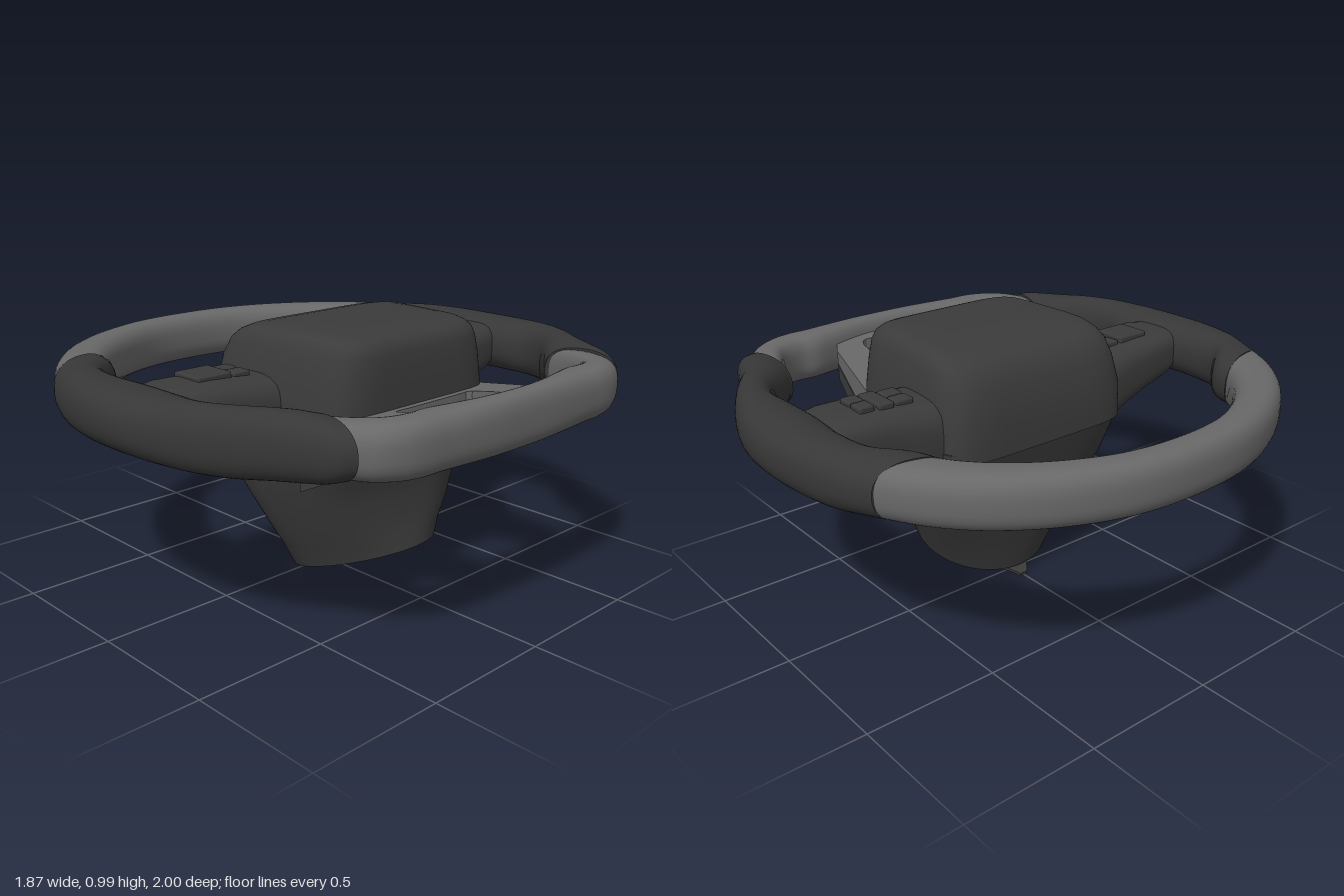
import * as THREE from 'three';
import { RoundedBoxGeometry } from 'three/addons/geometries/RoundedBoxGeometry.js';

const mat = (name, color) => {
  const m = new THREE.MeshStandardMaterial({ color });
  m.name = name;
  return m;
};

// Unit superellipse: n = 2 is round, larger n is boxier
const superellipse = (n, count = 48) => Array.from({ length: count }, (_, i) => {
  const a = (i / count) * Math.PI * 2, c = Math.cos(a), s = Math.sin(a);
  return [Math.sign(c) * Math.abs(c) ** (2 / n), Math.sign(s) * Math.abs(s) ** (2 / n)];
});

// Skin over a row of closed rings, with flat caps at both ends
function loft(rings) {
  const n = rings[0].length, pos = [], idx = [];
  rings.forEach(r => r.forEach(p => pos.push(...p)));
  for (let i = 0; i < rings.length - 1; i++) for (let j = 0; j < n; j++) {
    const a = i * n + j, b = i * n + (j + 1) % n;
    idx.push(a, b, b + n, a, b + n, a + n);
  }
  [[rings[0], true], [rings[rings.length - 1], false]].forEach(([r, flip]) => {
    const base = pos.length / 3;
    r.forEach(p => pos.push(...p));
    pos.push(...[0, 1, 2].map(k => r.reduce((s, p) => s + p[k], 0) / n));
    for (let j = 0; j < n; j++) {
      const a = base + j, b = base + (j + 1) % n;
      idx.push(...(flip ? [b, a, base + n] : [a, b, base + n]));
    }
  });
  // Turn the faces outward if the enclosed volume is negative
  const v = i => new THREE.Vector3(pos[i * 3], pos[i * 3 + 1], pos[i * 3 + 2]);
  let vol = 0;
  for (let i = 0; i < idx.length; i += 3) vol += v(idx[i]).dot(v(idx[i + 1]).cross(v(idx[i + 2])));
  if (vol < 0) idx.reverse();
  const g = new THREE.BufferGeometry();
  g.setAttribute('position', new THREE.Float32BufferAttribute(pos, 3));
  g.setIndex(idx);
  g.computeVertexNormals();
  return g;
}

// Rim section through stations [outer x, outer z, inner x, inner z, half height]
function rimSection(stations, n) {
  const outer = new THREE.CatmullRomCurve3(stations.map(s => new THREE.Vector3(s[0], s[4], s[1])));
  const inner = new THREE.CatmullRomCurve3(stations.map(s => new THREE.Vector3(s[2], s[4], s[3])));
  const steps = (stations.length - 1) * 6, section = superellipse(n, 40), rings = [];
  for (let i = 0; i <= steps; i++) {
    const o = outer.getPoint(i / steps), q = inner.getPoint(i / steps);
    rings.push(section.map(([u, w]) => [
      (o.x + q.x) / 2 + u * (o.x - q.x) / 2, 0.76 + w * o.y, (o.z + q.z) / 2 + u * (o.z - q.z) / 2]));
  }
  return loft(rings);
}
const mirrorZ = s => [s[0], -s[1], s[2], -s[3], s[4]];
const wholeZ = half => [...half, ...half.slice(0, -1).reverse().map(mirrorZ)];

// Rounded block: levels [y left, y right, x left, x right, half depth, exponent]
const block = levels => loft(levels.map(([yL, yR, x0, x1, hz, n]) =>
  superellipse(n, 64).map(([u, w]) => {
    const t = (u + 1) / 2;
    return [x0 + (x1 - x0) * t, yL + (yR - yL) * t, w * hz * (1.02 - 0.1 * t * (n > 3 ? 1 : 0.2))];
  })));

// Plate with a hole, its under and upper heights following x
function framePlate(outline, hole, bottom, top) {
  const full = half => [...half, ...half.slice().reverse().map(([x, z]) => [x, -z])]
    .map(p => new THREE.Vector2(...p));
  const shape = new THREE.Shape(full(outline));
  shape.holes.push(new THREE.Path(full(hole)));
  const g = new THREE.ExtrudeGeometry(shape, { depth: 1, bevelEnabled: false });
  g.rotateX(-Math.PI / 2);
  const p = g.attributes.position;
  for (let i = 0; i < p.count; i++) {
    const x = p.getX(i);
    p.setY(i, THREE.MathUtils.lerp(bottom(x), top(x), p.getY(i)));
  }
  g.computeVertexNormals();
  return g;
}

export function createModel() {
  const model = new THREE.Group();
  model.name = 'steeringWheel';
  const light = mat('grey trim', 0x686868);
  const grip = mat('dark grip', 0x373737);
  const dark = mat('dark plastic', 0x3b3b3b);
  const add = (name, geo, m, parent = model) => {
    const mesh = new THREE.Mesh(geo, m);
    mesh.name = name;
    parent.add(mesh);
    return mesh;
  };

  // Rim: two grey arcs and two dark grips
  add('upperRim', rimSection(wholeZ([
    [-0.43, -0.885, -0.49, -0.625, 0.096], [-0.55, -0.815, -0.535, -0.59, 0.096],
    [-0.69, -0.69, -0.6, -0.525, 0.096], [-0.82, -0.5, -0.69, -0.4, 0.096],
    [-0.91, -0.26, -0.77, -0.22, 0.096], [-0.935, 0, -0.795, 0, 0.096]]), 2.7), light);
  add('lowerRim', rimSection(wholeZ([
    [0.8, -0.66, 0.56, -0.615, 0.085], [0.86, -0.61, 0.65, -0.587, 0.09],
    [0.9, -0.53, 0.74, -0.53, 0.093], [0.915, -0.45, 0.775, -0.45, 0.095],
    [0.92, -0.37, 0.77, -0.37, 0.095], [0.925, -0.28, 0.79, -0.28, 0.095],
    [0.93, -0.14, 0.82, -0.14, 0.095], [0.93, 0, 0.83, 0, 0.095]]), 2.7), light);
  const gripStations = [
    [-0.43, -0.89, -0.49, -0.62, 0.1], [-0.36, -0.925, -0.4, -0.655, 0.103],
    [-0.25, -0.962, -0.31, -0.745, 0.105], [-0.1, -0.99, -0.14, -0.775, 0.106],
    [0.05, -1, 0.05, -0.76, 0.106], [0.2, -0.985, 0.22, -0.765, 0.106],
    [0.36, -0.935, 0.33, -0.78, 0.108], [0.5, -0.865, 0.42, -0.745, 0.11],
    [0.62, -0.79, 0.48, -0.69, 0.108], [0.72, -0.745, 0.52, -0.645, 0.105],
    [0.79, -0.715, 0.545, -0.62, 0.1], [0.83, -0.665, 0.55, -0.61, 0.094]];
  add('rightGrip', rimSection(gripStations, 2.3), grip);
  add('leftGrip', rimSection(gripStations.map(mirrorZ), 2.3), grip);

  // Domed centre pad
  add('centrePad', block([
    [0.62, 0.62, -0.21, 0.49, 0.425, 6], [0.75, 0.75, -0.21, 0.49, 0.42, 6],
    [0.86, 0.86, -0.185, 0.485, 0.4, 6], [0.92, 0.92, -0.155, 0.478, 0.385, 6],
    [0.95, 0.95, -0.12, 0.468, 0.37, 6], [0.97, 0.97, -0.075, 0.445, 0.35, 6],
    [0.98, 0.98, -0.02, 0.415, 0.33, 6], [0.987, 0.987, 0.06, 0.37, 0.29, 5],
    [0.99, 0.99, 0.12, 0.3, 0.2, 5]]), dark);

  // Column shroud, cut at a slant below
  add('columnShroud', block([
    [0.66, 0.66, -0.205, 0.488, 0.43, 6], [0.58, 0.57, -0.185, 0.47, 0.432, 5],
    [0.46, 0.48, -0.155, 0.445, 0.418, 4], [0.35, 0.4, -0.125, 0.44, 0.388, 3.2],
    [0.23, 0.31, -0.095, 0.445, 0.338, 2.6], [0.13, 0.25, -0.07, 0.455, 0.3, 2.2],
    [0.035, 0.19, -0.045, 0.465, 0.268, 2]]), dark);

  // Lower spoke: grey open frame over a dark backing
  const outline = [[0.3, -0.4], [0.42, -0.375], [0.74, -0.305], [0.8, -0.27], [0.86, -0.2]];
  const hole = [[0.53, -0.13], [0.525, -0.18], [0.54, -0.195], [0.74, -0.178], [0.77, -0.165],
    [0.782, -0.14], [0.78, -0.11], [0.735, -0.09], [0.735, -0.07], [0.76, -0.055]];
  add('lowerSpokeFrame', framePlate(outline, hole,
    x => 0.575 + (x - 0.46) * 0.42, x => 0.73 + (x - 0.45) * 0.18), light);
  add('lowerSpokeBacking', framePlate(
    [[0.3, -0.405], [0.42, -0.38], [0.73, -0.31], [0.78, -0.25]],
    [[0.5, -0.21], [0.75, -0.2]],
    x => 0.535 + (x - 0.46) * 0.49, x => 0.62 + (x - 0.46) * 0.4), dark);

  // Side spokes: stations [z, x left, x right, bottom, top]
  const spoke = [[0.34, -0.13, 0.21, 0.53, 0.83], [0.43, -0.128, 0.207, 0.55, 0.835],
    [0.52, -0.115, 0.202, 0.58, 0.842], [0.62, -0.105, 0.198, 0.615, 0.848],
    [0.74, -0.1, 0.19, 0.65, 0.85], [0.82, -0.08, 0.17, 0.68, 0.84]];
  const section = superellipse(3.2);
  for (const [side, s] of [['left', 1], ['right', -1]]) {
    add(side + 'Spoke', loft(spoke.map(([z, x0, x1, y0, y1]) => section.map(([u, w]) =>
      [(x0 + x1) / 2 + u * (x1 - x0) / 2, (y0 + y1) / 2 + w * (y1 - y0) / 2, s * z]))), dark);
  }

  // Spoke buttons: [x, z, width, depth]
  const buttons = new THREE.Group();
  buttons.name = 'spokeButtons';
  model.add(buttons);
  for (const [x, z, w, d] of [
    [0, -0.645, 0.062, 0.06], [0.068, -0.645, 0.062, 0.06], [0.034, -0.57, 0.14, 0.06],
    [0, -0.495, 0.062, 0.07], [0.068, -0.495, 0.062, 0.07],
    [0, 0.48, 0.062, 0.07], [0.068, 0.48, 0.062, 0.07], [0.034, 0.595, 0.135, 0.14]]) {
    const y = 0.835 + (Math.abs(z) - 0.43) * 0.07;
    add('button', new RoundedBoxGeometry(w, 0.03, d, 2, 0.008), dark, buttons).position.set(x, y, z);
  }

  // Small bowed plate beneath the column
  const plate = new THREE.BoxGeometry(0.14, 0.01, 0.14, 12, 1, 2);
  const p = plate.attributes.position;
  for (let i = 0; i < p.count; i++) {
    const x = p.getX(i);
    p.setY(i, p.getY(i) + 0.025 - 4 * x * x);
    p.setZ(i, p.getZ(i) * (1 - 0.75 * Math.abs(x) / 0.07));
  }
  plate.computeVertexNormals();
  add('bottomPlate', plate, dark);
  return model;
}
